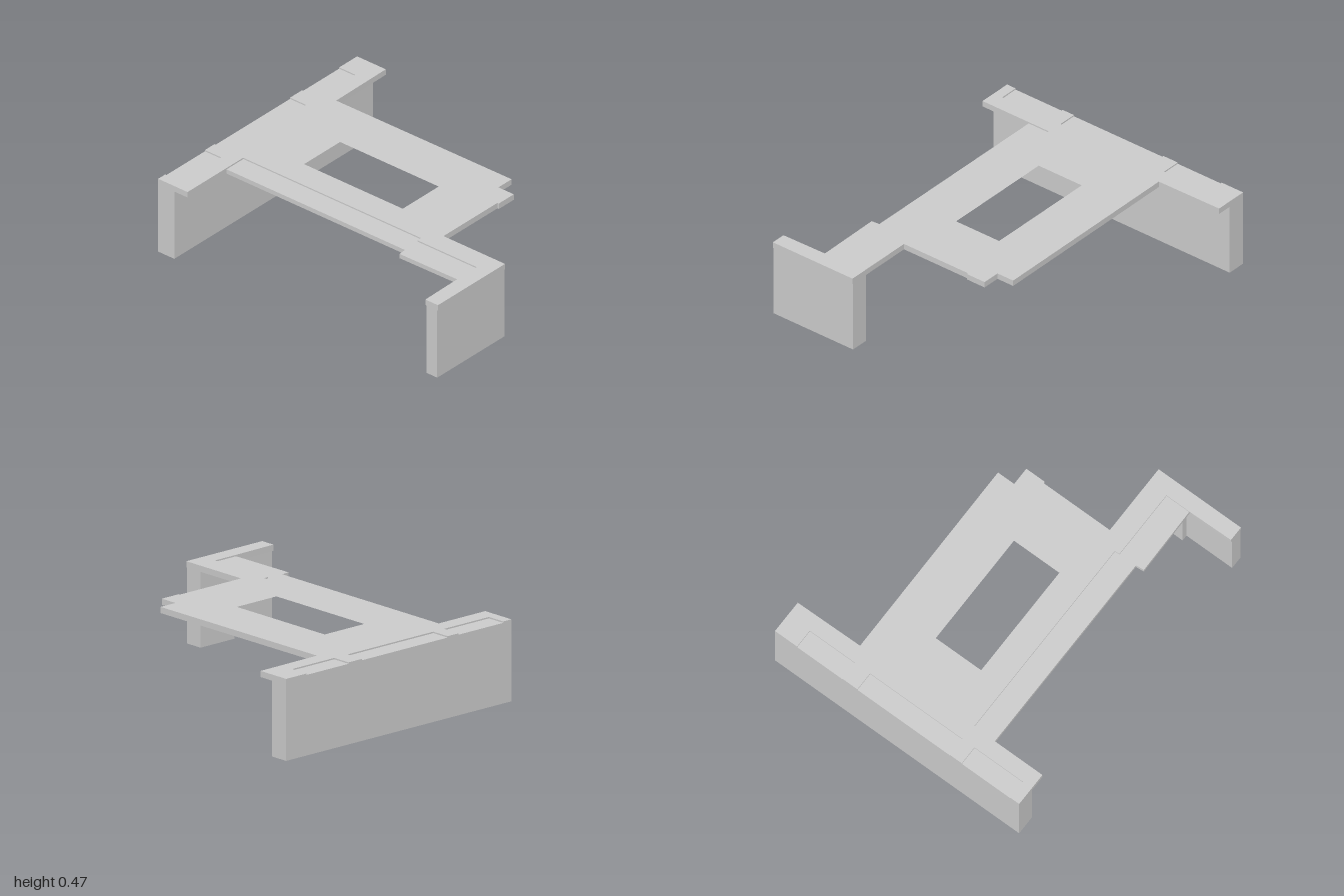
import * as THREE from 'three';

const BASE_Y = 0.43;   // underside of the deck
const STEP_Y = 0.457;  // level of the recessed strips
const TOP_Y = 0.465;   // top surface

const material = new THREE.MeshStandardMaterial({ color: 0xcccccc, flatShading: true });

// Plan points are [x, z]; the slab is extruded upwards from y0 to y1.
function slab(name, plan, y0, y1, hole) {
  const toV = ([x, z]) => new THREE.Vector2(x, -z);
  const shape = new THREE.Shape(plan.map(toV));
  if (hole) shape.holes.push(new THREE.Path(hole.map(toV)));
  const geometry = new THREE.ExtrudeGeometry(shape, { depth: y1 - y0, bevelEnabled: false });
  geometry.rotateX(-Math.PI / 2);
  geometry.translate(0, y0, 0);
  const mesh = new THREE.Mesh(geometry, material);
  mesh.name = name;
  return mesh;
}

const rect = (x0, x1, z0, z1) => [[x0, z0], [x1, z0], [x1, z1], [x0, z1]];

export function createModel() {
  const group = new THREE.Group();
  group.name = 'deckFrame';

  // Edges shared by both deck layers: back and right side, up to the right leg
  const backEdge = [
    [-1, -0.83], [-0.795, -0.83], [-0.79, -0.41], [0.46, -0.415],
    [0.46, -0.305], [0.57, -0.305], [0.57, -0.18], [0.56, -0.18],
    [0.56, 0.27], [1, 0.27], [1, 0.83], [0.91, 0.83], [0.905, 0.55],
  ];
  const leftFront = [[-0.79, 0.505], [-0.79, 0.83], [-1, 0.83]];

  // Lower deck layer with the rectangular opening
  const lowerPlan = [...backEdge, [0.49, 0.555], [0.485, 0.505], ...leftFront];
  group.add(slab('lowerDeck', lowerPlan, BASE_Y, STEP_Y, rect(-0.505, 0.2, -0.11, 0.2)));

  // Raised top layer: leaves a front strip, side pockets and opening ledges recessed
  const pockets = [[0.77, 0.44], [0.36, -0.27], [-0.37, -0.68]];
  const pocketEdge = pockets.flatMap(([front, back]) => [
    [-1, front], [-0.885, front], [-0.885, back], [-1, back],
  ]);
  const upperPlan = [
    ...backEdge, [0.905, 0.395], [0.48, 0.395], [0.48, 0.365], [-0.79, 0.365],
    ...leftFront, ...pocketEdge,
  ];
  group.add(slab('raisedDeck', upperPlan, STEP_Y, TOP_Y, rect(-0.585, 0.275, -0.11, 0.2)));

  // Long side wall
  group.add(slab('longWall', rect(-1, -0.885, -0.83, 0.83), 0, BASE_Y));

  // Short side wall, thicker towards the back
  const shortPlan = [
    [0.885, 0.27], [0.995, 0.27], [0.995, 0.83], [0.92, 0.83], [0.92, 0.52], [0.885, 0.52],
  ];
  group.add(slab('shortWall', shortPlan, 0, BASE_Y));

  return group;
}
